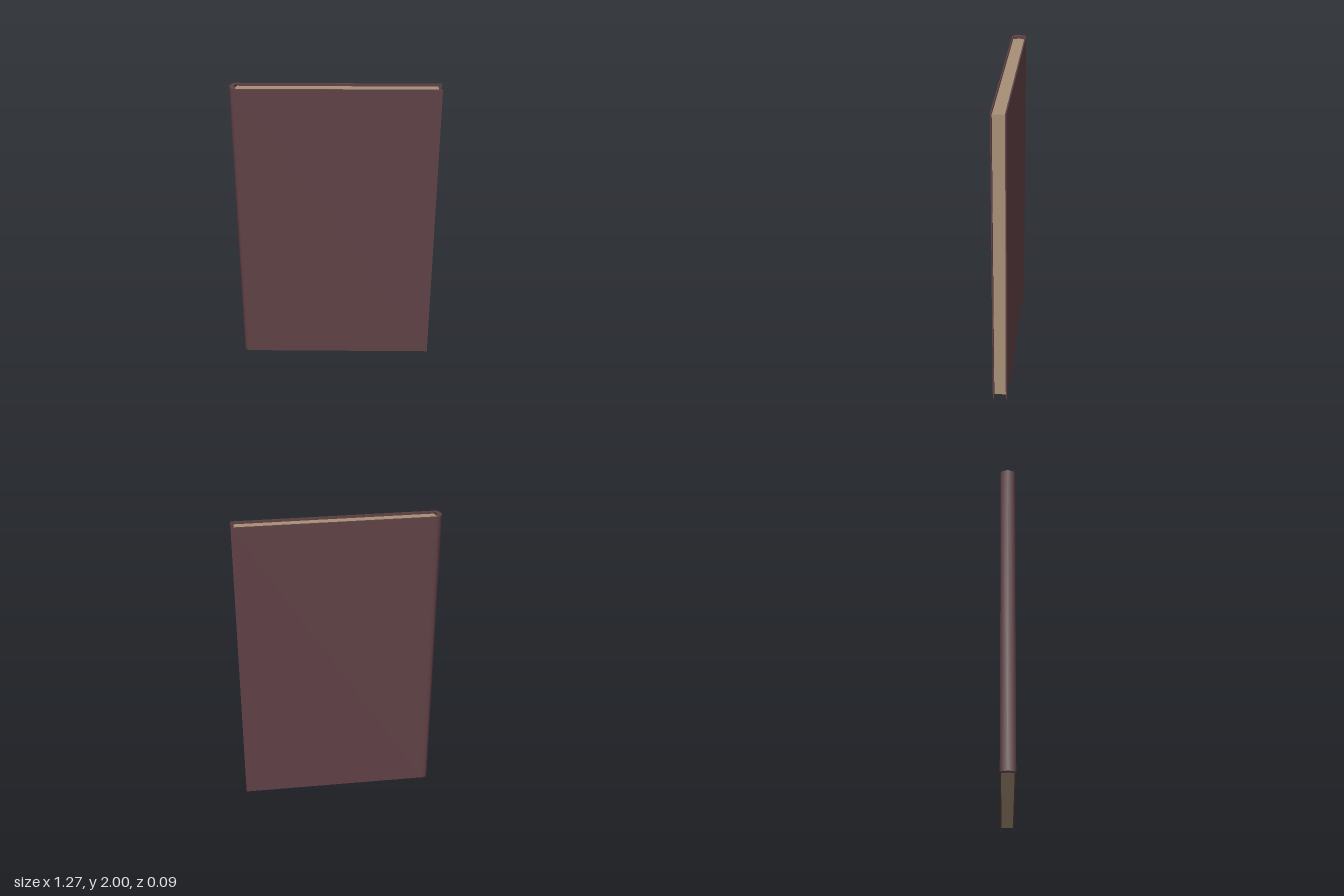
import * as THREE from 'three';
import { toCreasedNormals } from 'three/addons/utils/BufferGeometryUtils.js';

// Extrudes an x/z half outline, mirrored in z, from y0 up to y1
function upright(half, y0, y1) {
  const mirrored = half.filter(([, z]) => z !== 0).reverse().map(([x, z]) => [x, -z]);
  const shape = new THREE.Shape([...half, ...mirrored].map(([x, z]) => new THREE.Vector2(x, z)));
  const geometry = new THREE.ExtrudeGeometry(shape, { depth: y1 - y0, bevelEnabled: false });
  geometry.rotateX(-Math.PI / 2).translate(0, y0, 0);
  return toCreasedNormals(geometry, 0.95);
}

export function createModel() {
  const leather = new THREE.MeshStandardMaterial({ color: 0x5f4145 });
  leather.name = 'burgundy cover';
  const paper = new THREE.MeshStandardMaterial({ color: 0xa68f76 });
  paper.name = 'aged paper';

  const book = new THREE.Group();
  book.name = 'book';
  const add = (name, geometry, material) => {
    const mesh = new THREE.Mesh(geometry, material);
    mesh.name = name;
    book.add(mesh);
  };

  // Cover: two thin boards joined by a pointed, softly shaded spine
  add('cover', upright([
    [-0.608, 0], [-0.594, 0.038], [0.637, 0.038], [0.637, 0.046],
    [-0.59, 0.046], [-0.606, 0.046], [-0.621, 0.038], [-0.637, 0],
  ], 0, 2), leather);

  // Page block, set in from the cover edges
  add('pages', upright([
    [-0.608, 0], [-0.594, 0.038], [0.617, 0.038], [0.617, 0],
  ], 0.022, 1.984), paper);

  return book;
}
